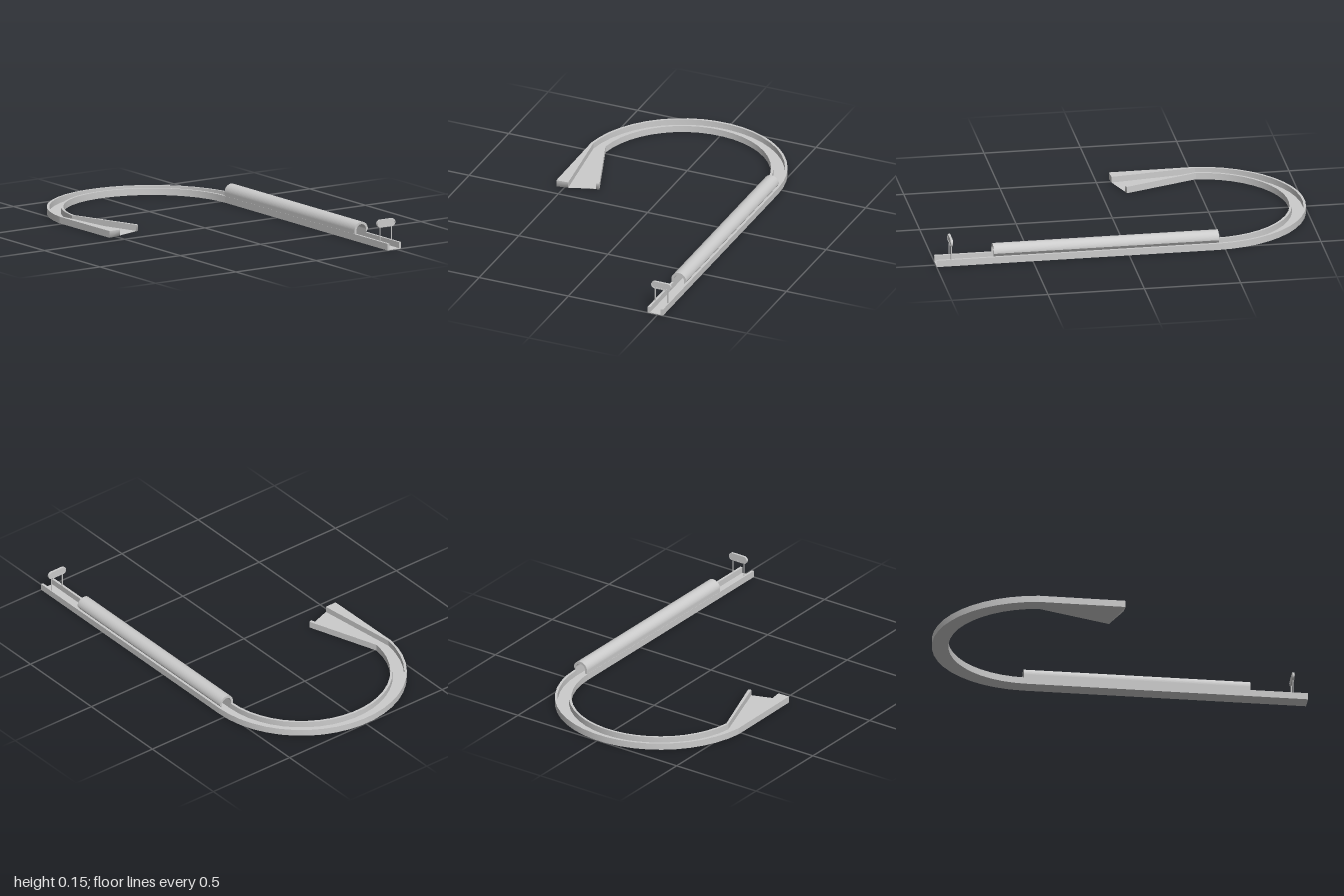
import * as THREE from 'three';

const WALL = 0.035, FLOOR = 0.004;   // heights of the side walls and of the floor
const LANE = 0.4875;                 // x of the straight lane's centre

const grey = () => new THREE.MeshStandardMaterial({ color: 0xcccccc, side: THREE.DoubleSide });

function add(parent, name, geometry, x = 0, y = 0, z = 0) {
  const mesh = new THREE.Mesh(geometry, grey());
  mesh.name = name;
  mesh.position.set(x, y, z);
  parent.add(mesh);
  return mesh;
}

// Sweeps a U-shaped channel through stations of four plan points [x, z]:
// outer edge, outer wall inside, inner wall inside, inner edge.
function channel(stations) {
  const rings = stations.map(([a, b, c, d]) => [
    [a, 0], [a, WALL], [b, WALL], [b, FLOOR], [c, FLOOR], [c, WALL], [d, WALL], [d, 0],
  ].map(([p, y]) => [p[0], y, p[1]]));
  const position = [], index = [];
  // one strip per profile side, smooth along the path and sharp across it
  for (let k = 0; k < 8; k++) {
    const base = position.length / 3;
    rings.forEach((ring, i) => {
      position.push(...ring[k], ...ring[(k + 1) % 8]);
      if (i === 0) return;
      const p0 = base + 2 * (i - 1), q0 = p0 + 1, p1 = p0 + 2, q1 = p0 + 3;
      index.push(p0, p1, q0, q0, p1, q1);
    });
  }
  // end caps
  const cap = [[0, 1, 2], [0, 2, 3], [0, 3, 4], [0, 4, 7], [4, 5, 6], [4, 6, 7]];
  [rings[0], rings[rings.length - 1]].forEach((ring, end) => {
    const base = position.length / 3;
    ring.forEach((p) => position.push(...p));
    cap.forEach(([a, b, c]) => index.push(base + a, base + (end ? c : b), base + (end ? b : c)));
  });
  const geometry = new THREE.BufferGeometry();
  geometry.setAttribute('position', new THREE.Float32BufferAttribute(position, 3));
  geometry.setIndex(index);
  geometry.computeVertexNormals();
  return geometry;
}

// Pill outline centred on the origin
function pill(halfWidth, radius, Type = THREE.Shape) {
  const s = new Type(), c = halfWidth - radius;
  s.absarc(c, 0, radius, -Math.PI / 2, Math.PI / 2, false);
  s.absarc(-c, 0, radius, Math.PI / 2, Math.PI * 1.5, false);
  s.closePath();
  return s;
}

const extrude = (shape, depth, curveSegments = 12) =>
  new THREE.ExtrudeGeometry(shape, { depth, curveSegments, bevelEnabled: false });

export function createModel() {
  const model = new THREE.Group();
  model.name = 'trackWithTunnel';

  // channel: straight lane, half-circle bend, flared exit
  const track = new THREE.Group();
  track.name = 'track';
  model.add(track);
  const radii = [0.54, 0.527, 0.468, 0.455];
  const station = (angle) => radii.map((r) =>
    [-0.01 + r * Math.cos(angle), -0.46 - r * Math.sin(angle)]);
  const start = station(0);
  add(track, 'straightLane', channel([start.map(([x]) => [x, 1]), start]));

  const bend = [], steps = 22, sweep = Math.PI * 0.965;
  for (let i = 0; i <= steps; i++) bend.push(station(sweep * i / steps));
  add(track, 'bend', channel(bend));
  add(track, 'flaredExit', channel([
    bend[steps],
    [[-0.543, -0.072], [-0.478, -0.075], [-0.342, -0.122], [-0.327, -0.13]],
  ]));

  // arched tunnel cover standing on the lane walls
  const arch = new THREE.Shape();
  const spring = 0.053, outer = 0.0415, inner = 0.029;
  arch.moveTo(outer, WALL);
  arch.absarc(0, spring, outer, 0, Math.PI, false);
  arch.lineTo(-outer, WALL);
  arch.lineTo(-inner, WALL);
  arch.absarc(0, spring, inner, Math.PI, 0, true);
  arch.lineTo(inner, WALL);
  arch.closePath();
  add(model, 'tunnel', extrude(arch, 1.17, 16), LANE, 0, -0.467);

  // blank pill-shaped sign on two posts
  const sign = new THREE.Group();
  sign.name = 'startSign';
  sign.position.set(LANE, 0, 0.923);
  model.add(sign);
  for (const side of [-1, 1]) {
    add(sign, 'signPost', new THREE.CylinderGeometry(0.003, 0.003, 0.085, 10),
      side * 0.035, 0.0725, 0);
  }
  const rim = pill(0.056, 0.02);
  rim.holes.push(pill(0.05, 0.014, THREE.Path));
  add(sign, 'signRim', extrude(rim, 0.012), 0, 0.127, -0.006);
  add(sign, 'signPanel', extrude(pill(0.0505, 0.0145), 0.009), 0, 0.127, -0.0055);

  return model;
}
